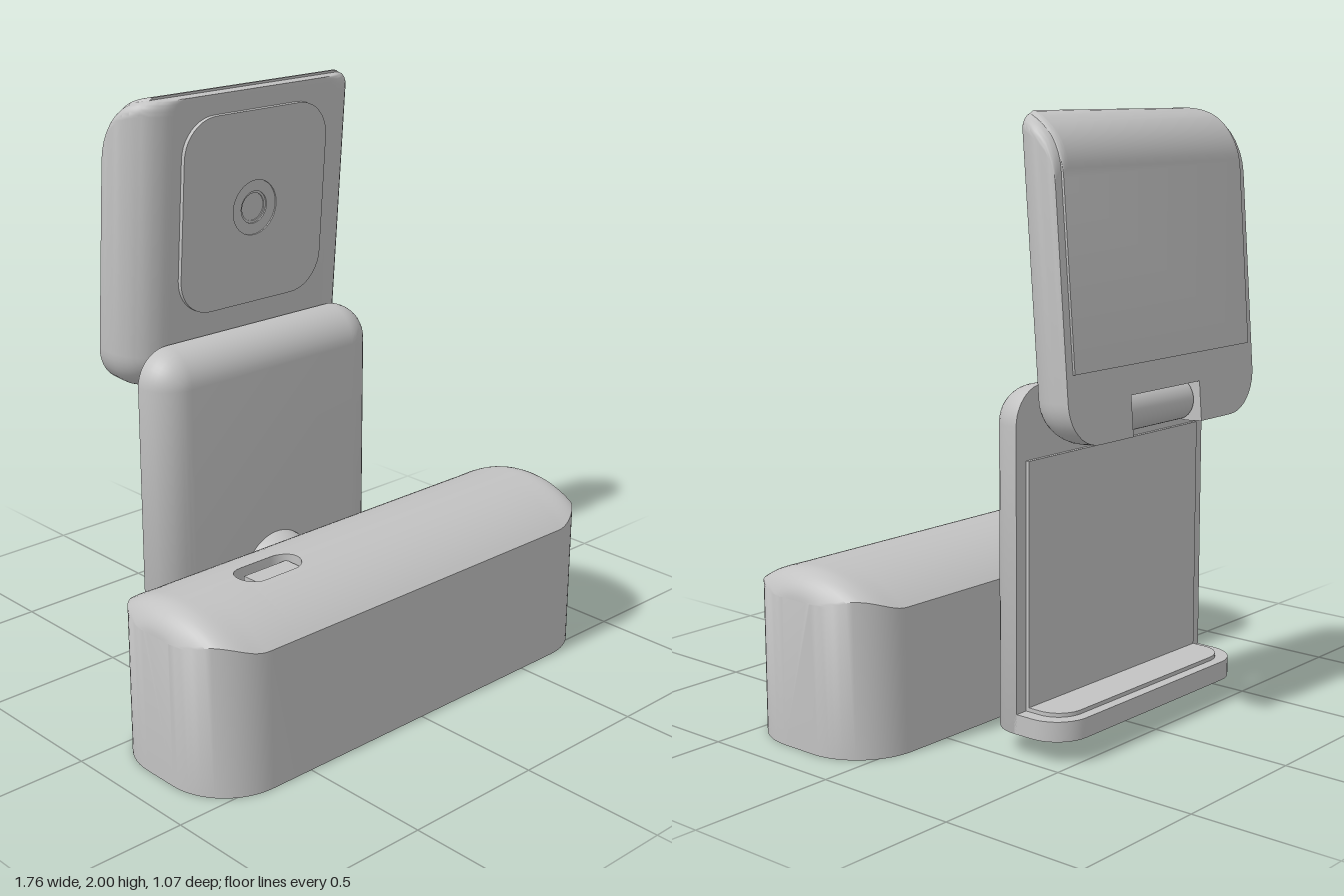
import * as THREE from 'three';
import { toCreasedNormals } from 'three/addons/utils/BufferGeometryUtils.js';

const grey = new THREE.MeshStandardMaterial({ color: 0xc2c2c2 });
grey.name = 'grey plastic';

function add(parent, name, geometry, x = 0, y = 0, z = 0) {
  const mesh = new THREE.Mesh(geometry, grey);
  mesh.name = name;
  mesh.position.set(x, y, z);
  parent.add(mesh);
}

// Skins counter-clockwise rings { z, pts: [[x, y], ...] } along +z, with end caps.
function loft(rings) {
  const pos = [], a = new THREE.Vector3(), b = new THREE.Vector3();
  const tri = (p, q, r) => {
    a.subVectors(q, p);
    b.subVectors(r, p);
    if (a.cross(b).length() > 1e-10) for (const v of [p, q, r]) pos.push(v.x, v.y, v.z);
  };
  const loops = rings.map(({ z, pts }) => pts.map(([x, y]) => new THREE.Vector3(x, y, z)));
  for (let k = 0; k + 1 < loops.length; k++) {
    const p = loops[k], q = loops[k + 1], n = p.length;
    for (let i = 0; i < n; i++) {
      const j = (i + 1) % n;
      tri(p[i], p[j], q[j]);
      tri(p[i], q[j], q[i]);
    }
  }
  const cap = (loop, flip) => {
    const flat = loop.map((v) => new THREE.Vector2(v.x, v.y));
    for (const [i, j, k] of THREE.ShapeUtils.triangulateShape(flat, [])) {
      const ccw = (loop[j].x - loop[i].x) * (loop[k].y - loop[i].y) - (loop[k].x - loop[i].x) * (loop[j].y - loop[i].y) > 0;
      if (ccw !== flip) tri(loop[i], loop[j], loop[k]);
      else tri(loop[i], loop[k], loop[j]);
    }
  };
  cap(loops[0], true);
  cap(loops[loops.length - 1], false);
  const geo = new THREE.BufferGeometry();
  geo.setAttribute('position', new THREE.Float32BufferAttribute(pos, 3));
  return toCreasedNormals(geo, 0.6);
}

// Quarter arc of points starting at angle a0.
function corner(cx, cy, r, a0, n = 10) {
  return Array.from({ length: n + 1 }, (_, i) => {
    const t = a0 + (i / n) * Math.PI / 2;
    return [cx + r * Math.cos(t), cy + r * Math.sin(t)];
  });
}

// Rectangle with separate bottom and top corner radii.
function roundRect(x0, y0, x1, y1, rb, rt) {
  return [
    ...corner(x0 + rb, y0 + rb, rb, Math.PI), ...corner(x1 - rb, y0 + rb, rb, 1.5 * Math.PI),
    ...corner(x1 - rt, y1 - rt, rt, 0), ...corner(x0 + rt, y1 - rt, rt, Math.PI / 2),
  ];
}

const slab = (pts, depth) => loft([{ z: 0, pts }, { z: depth, pts }]);
const lathe = (pts) => new THREE.LatheGeometry(pts.map(([x, y]) => new THREE.Vector2(x, y)), 48);
const arcHeight = (r, d) => Math.sqrt(Math.max(0, r * r - d * d));

// Long body with domed top, rounded ends and a recessed slot
function baseGeometry() {
  const { smoothstep } = THREE.MathUtils;
  const xs = [-0.551, -0.299];
  for (let i = 0; i <= 16; i++) {
    const e = 0.66 + 0.22 * Math.sin((i / 16) * Math.PI / 2);
    xs.push(e, -e);
  }
  for (let i = 0; i <= 6; i++) {
    const t = (i / 6) * Math.PI / 2;
    xs.push(-0.49 - 0.06 * Math.cos(t), -0.36 + 0.06 * Math.sin(t));
  }
  xs.sort((p, q) => p - q);
  const rings = xs.map((x) => {
    const ax = Math.abs(x);
    const w = 0.065 + arcHeight(0.22, Math.max(0, ax - 0.66));
    const crest = 0.488 + 0.92 * arcHeight(0.1, Math.max(0, ax - 0.78));
    const edge = 0.475 + 0.035 * smoothstep(ax, 0.68, 0.83) - 0.022 * smoothstep(ax, 0.83, 0.88);
    const h = (u) => edge + (crest - edge) * (arcHeight(0.456, 0.285 * u / w) - 0.356) / 0.1;
    const d = Math.max(0, Math.abs(x + 0.425) - 0.065);
    const s = arcHeight(0.06, d);
    const floor = h(s) - (d < 0.0601 ? 0.05 : 0);
    const side = Array.from({ length: 21 }, (_, i) => w + (s - w) * (i / 20)).map((u) => [u, h(u)]);
    const mirror = side.map(([u, v]) => [-u, v]).reverse();
    return { z: x, pts: [[-w, 0], [w, 0], ...side, [s, floor], [-s, floor], ...mirror] };
  });
  return loft(rings).rotateY(Math.PI / 2);
}

// Upright plate with softly rounded front edges
function plateGeometry() {
  const r = 0.12, rings = [{ z: -0.32, inset: 0 }];
  for (let i = 0; i <= 10; i++) {
    const t = (i / 10) * Math.PI / 2;
    rings.push({ z: -0.305 + r * Math.sin(t), inset: r * (1 - Math.cos(t)) });
  }
  return loft(rings.map(({ z, inset }) => {
    const w = 0.485 - inset;
    return { z, pts: roundRect(-w, 0.075, w, 1.17 - inset, 0.0001, r - inset + 0.0001) };
  }));
}

// Tilting head: rounded front sides and bottom, back rolled over at the top
const LEN = 1.003, THICK = 0.19, ROLL = 0.17, EDGE = 0.14;
const headInset = (z) => EDGE - arcHeight(EDGE, Math.max(0, z - (THICK - EDGE)));
const headTop = (z, raise) => LEN - ROLL + arcHeight(ROLL + raise, Math.max(0, ROLL - z));

function headGeometry() {
  const zs = [0];
  for (let i = 1; i <= 10; i++) {
    const t = (i / 10) * Math.PI / 2;
    zs.push(ROLL * (1 - Math.cos(t)), THICK - EDGE + EDGE * Math.sin(t));
  }
  zs.sort((p, q) => p - q);
  return loft(zs.map((z) => {
    const inset = headInset(z), w = 0.485 - inset, notch = Math.max(0.13, inset);
    const pts = roundRect(-w, inset, w, headTop(z, 0), EDGE - inset + 0.0001, 0.05);
    // notch for the hinge
    pts.splice(11, 0, [-0.18, inset], [-0.18, notch], [0.18, notch], [0.18, inset]);
    return { z, pts };
  }));
}

// Thin skin raised over the back of the head and its rolled top
function backSkinGeometry() {
  const raise = 0.008;
  const rings = Array.from({ length: 15 }, (_, i) => {
    const z = -raise + 0.153 * (i / 14) ** 2;
    const w = 0.455 - headInset(z);
    return { z, pts: roundRect(-w, 0.225, w, headTop(z, raise), 0.0001, 0.03) };
  });
  return loft(rings);
}

export function createModel() {
  const model = new THREE.Group();
  model.name = 'desk stand';

  // Base with sliding switch
  const base = new THREE.Group();
  base.name = 'base';
  base.position.z = 0.25;
  model.add(base);
  add(base, 'baseBody', baseGeometry());
  add(base, 'switchSlider', new THREE.BoxGeometry(0.18, 0.03, 0.08), -0.4, 0.54, 0);

  // Ball joint between base and cradle
  const neck = [[0, 0], [0.145, 0], [0.145, 0.075], [0.118, 0.075]];
  for (let i = 0; i <= 10; i++) {
    const t = 0.66 * (1 - i / 10);
    neck.push([0.15 * Math.cos(t), 0.17 - 0.15 * Math.sin(t)]);
  }
  neck.push([0, 0.17]);
  add(model, 'ballJoint', toCreasedNormals(lathe(neck).rotateX(-Math.PI / 2), 0.6), 0, 0.29, -0.028);

  // Cradle: plate, back pad, foot and foot pad
  const cradle = new THREE.Group();
  cradle.name = 'cradle';
  model.add(cradle);
  add(cradle, 'cradlePlate', plateGeometry());
  add(cradle, 'cradlePad', new THREE.BoxGeometry(0.88, 0.8, 0.02), 0, 0.54, -0.322);
  const flat = (w, z0, z1, r, h) => slab(roundRect(-w, z0, w, z1, 0.0001, r), h).rotateX(-Math.PI / 2);
  add(cradle, 'cradleFoot', flat(0.485, 0.31, 0.503, 0.12, 0.065), 0, 0.075, 0);
  add(cradle, 'footPad', flat(0.44, 0.31, 0.467, 0.09, 0.02), 0, 0.133, 0);

  // Hinge block with rounded end
  const hinge = [[0.3, 1], [0.44, 1], ...corner(0.44, 1.07, 0.07, -Math.PI / 2), ...corner(0.44, 1.07, 0.07, 0), [0.3, 1.14]];
  add(cradle, 'hinge', slab(hinge, 0.34).rotateY(Math.PI / 2), -0.17, 0, 0);

  // Tilted head
  const head = new THREE.Group();
  head.name = 'head';
  head.position.set(0, 1.003, -0.535);
  head.rotation.x = 0.078;
  model.add(head);
  add(head, 'headShell', headGeometry());
  add(head, 'headBackSkin', backSkinGeometry());

  // Front panel with a stepped, round recess
  const panel = new THREE.Shape(roundRect(-0.31, -0.335, 0.31, 0.335, 0.13, 0.13).map(([x, y]) => new THREE.Vector2(x, y)));
  panel.holes.push(new THREE.Path().absarc(0, 0, 0.095, 0, Math.PI * 2, true));
  const panelGeo = new THREE.ExtrudeGeometry(panel, { depth: 0.015, bevelEnabled: false, curveSegments: 24 });
  add(head, 'frontPanel', toCreasedNormals(panelGeo, 0.6), 0, 0.6, THICK);
  const dish = [[0.095, 0.01], [0.056, 0.01], [0.056, 0.005], [0.048, 0.005], [0.048, 0.001], [0, 0.001]];
  add(head, 'buttonRecess', toCreasedNormals(lathe(dish).rotateX(Math.PI / 2), 0.6), 0, 0.6, THICK);
  return model;
}
